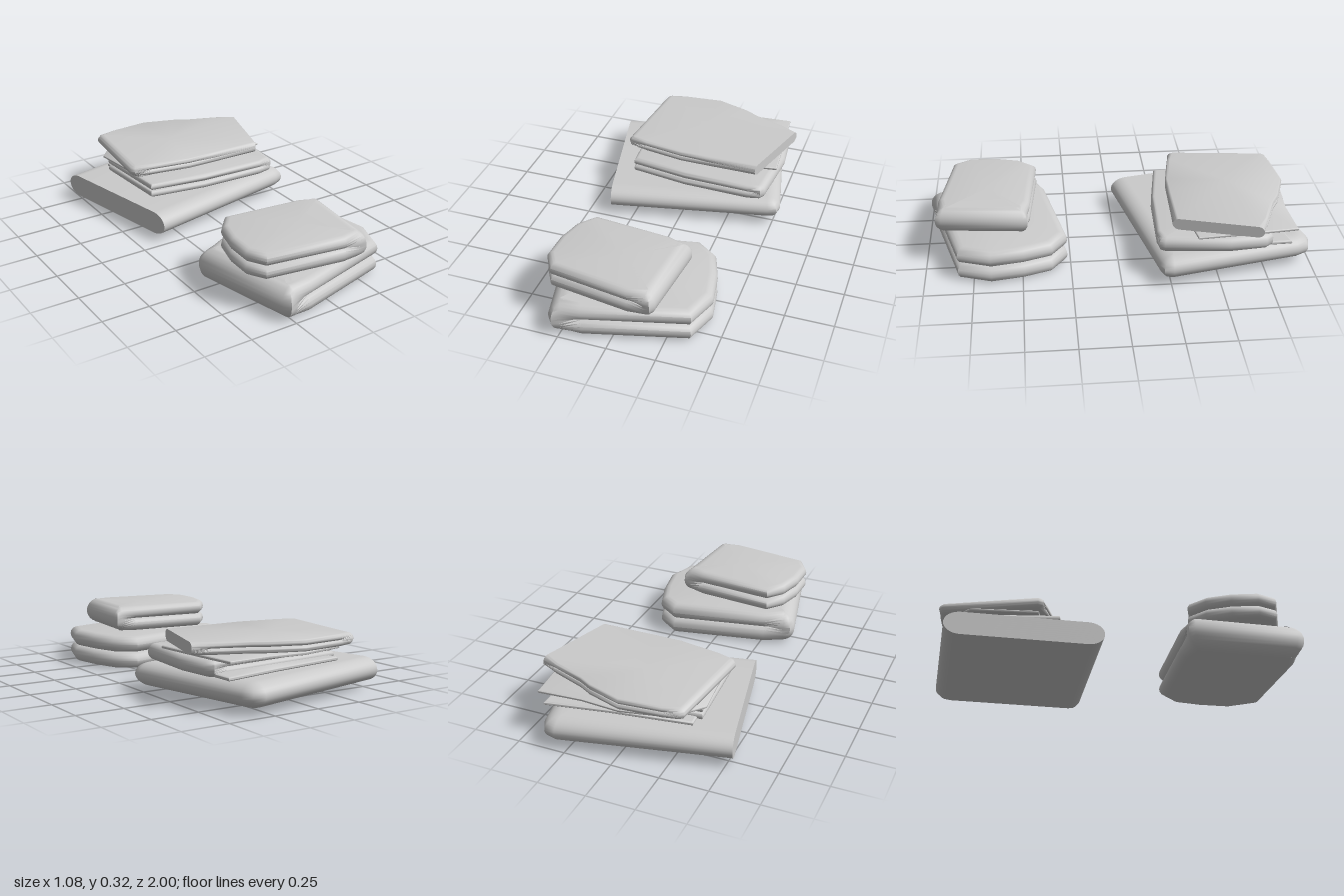
import * as THREE from 'three';
import { toCreasedNormals } from 'three/addons/utils/BufferGeometryUtils.js';

const material = new THREE.MeshStandardMaterial({ color: 0xcccccc, side: THREE.DoubleSide });
const RINGS = 16;

// One folded cloth. outline: [x, z, open] clockwise from above, where open = 0 on the
// folded edge (single round) and 1 where two layers show with a groove between them.
// cut: index of the first corner of an edge that is left flat.
function cloth(name, y0, y1, outline, { cut = -1, round = (y1 - y0) / 2, groove = (y1 - y0) / 4 } = {}) {
  const n = outline.length, half = (y1 - y0) / 2, mid = (y0 + y1) / 2;
  const pos = [], index = [];
  const unit = (a, b) => new THREE.Vector2(b[0] - a[0], b[1] - a[1]).normalize();

  // Inward direction at every corner
  const inward = outline.map((p, i) => {
    const e1 = unit(outline[(i + n - 1) % n], p), e2 = unit(p, outline[(i + 1) % n]);
    if (cut >= 0 && i === cut) return e2;
    if (cut >= 0 && i === (cut + 1) % n) return e1.negate();
    const m = new THREE.Vector2(-e1.y - e2.y, e1.x + e2.x).normalize();
    return m.multiplyScalar(1 / Math.max(0.6, -m.x * e1.y + m.y * e1.x));
  });

  for (let k = 0; k <= RINGS; k++) {
    const t = (k / RINGS) * 2 - 1;
    const a = t * Math.PI / 2;
    const s = t < 0 ? -1 : 1;
    const b = (2 * t - s) * Math.PI / 2;
    outline.forEach(([x, z, open], i) => {
      const inset = THREE.MathUtils.lerp(round * (1 - Math.cos(a)), groove * (1 - Math.cos(b)), open);
      const y = THREE.MathUtils.lerp(half * Math.sin(a), half * (s + Math.sin(b)) / 2, open);
      pos.push(x + inward[i].x * inset, mid + y, z + inward[i].y * inset);
    });
  }
  for (let k = 0; k < RINGS; k++) {
    for (let i = 0; i < n; i++) {
      const p = k * n + i, q = k * n + (i + 1) % n;
      index.push(p, p + n, q, q, p + n, q + n);
    }
  }
  // Top and bottom faces
  const cx = outline.reduce((v, p) => v + p[0], 0) / n;
  const cz = outline.reduce((v, p) => v + p[1], 0) / n;
  const c = pos.length / 3;
  pos.push(cx, y0, cz, cx, y1, cz);
  for (let i = 0; i < n; i++) {
    const j = (i + 1) % n, top = RINGS * n;
    index.push(c, i, j, c + 1, top + j, top + i);
  }
  const geo = new THREE.BufferGeometry();
  geo.setAttribute('position', new THREE.Float32BufferAttribute(pos, 3));
  geo.setIndex(index);
  const mesh = new THREE.Mesh(toCreasedNormals(geo, 0.9), material);
  mesh.name = name;
  return mesh;
}

export function createModel() {
  const model = new THREE.Group();
  model.name = 'foldedClothes';

  // Front pile: two thick folded garments
  const front = new THREE.Group();
  front.name = 'frontPile';
  front.add(
    cloth('frontLowerGarment', 0.0, 0.18, [
      [-0.43, 0.44, 0], [-0.415, 0.405, 0], [-0.38, 0.39, 0.2], [-0.27, 0.365, 1], [0.24, 0.265, 1],
      [0.35, 0.345, 1], [0.4, 0.49, 1], [0.43, 0.66, 1], [0.37, 0.83, 1],
      [-0.14, 0.965, 1], [-0.24, 0.993, 0.2], [-0.28, 1.0, 0], [-0.31, 0.96, 0]]),
    cloth('frontUpperGarment', 0.18, 0.32, [
      [-0.27, 0.41, 1], [0.14, 0.452, 1], [0.22, 0.46, 0.2], [0.255, 0.465, 0], [0.265, 0.49, 0],
      [0.22, 0.91, 0], [0.2, 0.94, 0], [0.17, 0.94, 0.2], [0.08, 0.928, 1], [-0.33, 0.865, 1],
      [-0.385, 0.77, 1], [-0.38, 0.63, 1], [-0.345, 0.5, 1]]));

  // Back pile: a wide base, a folded garment, thin sheets and a folded top
  const back = new THREE.Group();
  back.name = 'backPile';
  back.add(
    cloth('backBaseGarment', 0.03, 0.153, [
      [-0.54, -0.81, 0], [0.3, -1.0, 0], [0.36, -0.985, 0], [0.39, -0.93, 0], [0.535, -0.26, 0],
      [0.525, -0.21, 0], [0.48, -0.19, 0], [-0.37, -0.015, 0]], { cut: 7, round: 0.085 }),
    cloth('backLowerFlap', 0.155, 0.175, [
      [-0.32, -0.76, 0], [0.1, -0.82, 0], [0.42, -0.88, 0], [0.43, -0.5, 0], [-0.3, -0.4, 0]]),
    cloth('backMiddleGarment', 0.153, 0.236, [
      [-0.345, -0.7, 1], [0.34, -0.76, 1], [0.43, -0.78, 0.2], [0.465, -0.74, 0], [0.485, -0.55, 0],
      [0.455, -0.22, 0], [0.435, -0.19, 0.2], [0.36, -0.187, 1], [0.0, -0.2, 1], [-0.315, -0.25, 1]]),
    cloth('backThinSheet', 0.238, 0.254, [
      [-0.37, -0.71, 0], [-0.25, -0.85, 0], [0.0, -0.905, 0], [0.2, -0.89, 0], [0.43, -0.905, 0],
      [0.445, -0.75, 0], [0.475, -0.385, 0], [0.1, -0.33, 0], [-0.33, -0.36, 0]]),
    cloth('backTopGarment', 0.254, 0.315, [
      [-0.325, -0.865, 0], [-0.305, -0.885, 0], [-0.22, -0.892, 0.9], [0.0, -0.91, 0.9],
      [0.18, -0.85, 0.9], [0.25, -0.81, 0.9], [0.42, -0.745, 0.9], [0.51, -0.71, 0],
      [0.38, -0.265, 0], [0.1, -0.272, 0.5], [-0.05, -0.28, 0.9], [-0.27, -0.318, 0.9],
      [-0.365, -0.335, 0], [-0.38, -0.36, 0]], { cut: 7, round: 0.035 }));

  model.add(front, back);
  return model;
}
